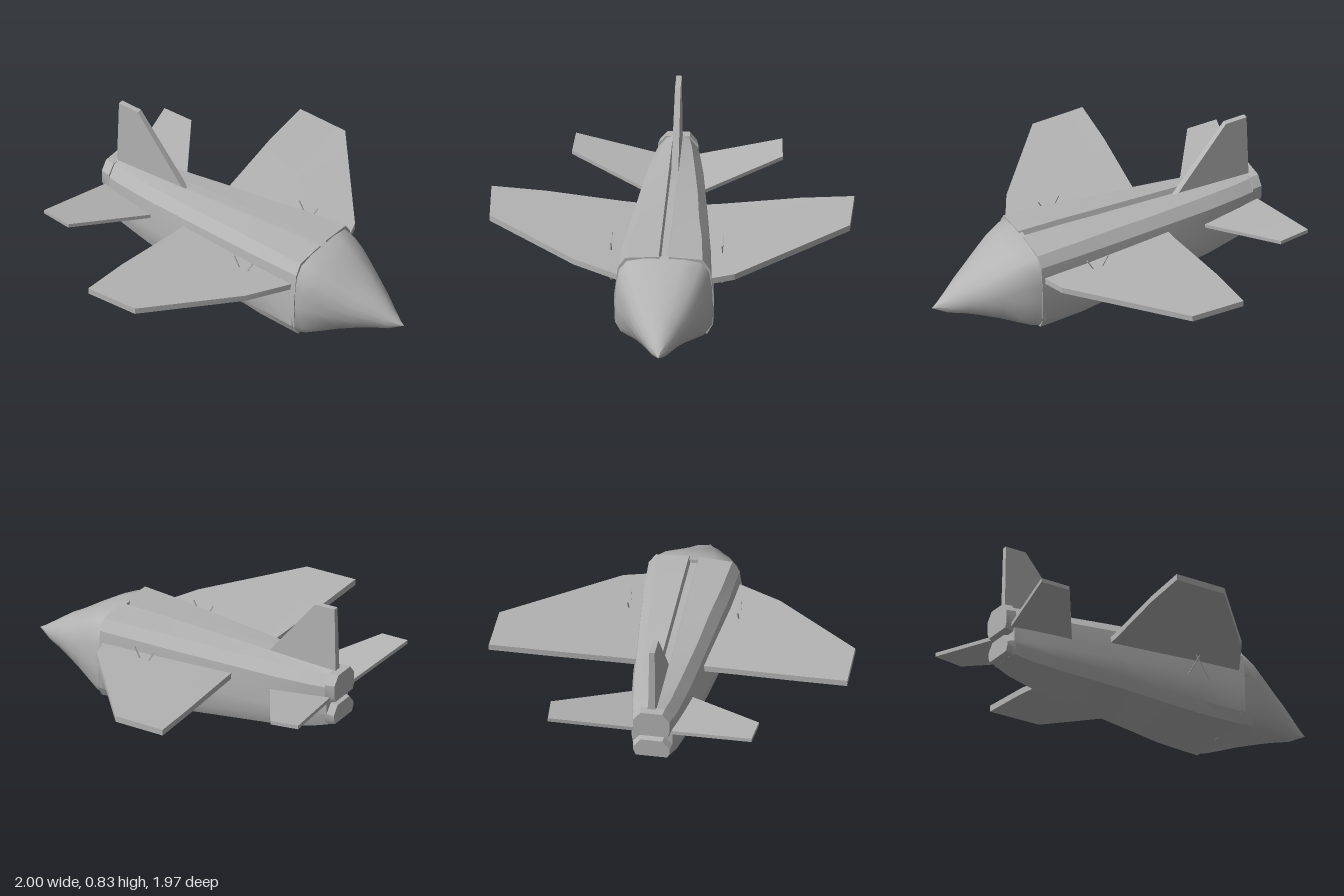
import * as THREE from 'three';
import { toCreasedNormals } from 'three/addons/utils/BufferGeometryUtils.js';

const grey = new THREE.MeshStandardMaterial({ color: 0xb4b4b4 });
grey.name = 'airframe grey';

// Skin closed rings of [x, y, z] points and close both ends
function loft(rings, crease = 0.5) {
  const n = rings[0].length, pos = [];
  const tri = (...p) => p.forEach((v) => pos.push(...v));
  for (let i = 0; i < rings.length - 1; i++) {
    for (let j = 0; j < n; j++) {
      const k = (j + 1) % n, r = rings[i], s = rings[i + 1];
      tri(r[j], r[k], s[k]);
      tri(r[j], s[k], s[j]);
    }
  }
  const cap = (r, flip) => {
    const c = [0, 1, 2].map((a) => r.reduce((t, p) => t + p[a], 0) / n);
    r.forEach((p, j) => (flip ? tri(c, r[(j + 1) % n], p) : tri(c, p, r[(j + 1) % n])));
  };
  cap(rings[0], true);
  cap(rings[rings.length - 1], false);
  const g = new THREE.BufferGeometry();
  g.setAttribute('position', new THREE.Float32BufferAttribute(pos, 3));
  return toCreasedNormals(g, crease);
}

// Mirror a half section of [z, y] points, listed top to bottom, into a full ring
function ring(x, half) {
  const left = half.map(([z, y]) => [x, y, z]);
  const right = half.slice().reverse().filter(([z]) => z > 0).map(([z, y]) => [x, y, -z]);
  return [...left, ...right];
}

// Flat surface from [x, z, yTop] corners; side = -1 mirrors it across the body
function plate(corners, thickness, side) {
  const pts = side > 0 ? corners : corners.slice().reverse();
  const layer = (d) => pts.map(([x, z, y]) => [x, y - d, z * side]);
  return loft([layer(thickness), layer(0)], 0.3);
}

export function createModel() {
  const model = new THREE.Group();
  model.name = 'jetAircraft';
  const add = (name, geometry) => {
    const mesh = new THREE.Mesh(geometry, grey);
    mesh.name = name;
    model.add(mesh);
    return mesh;
  };

  // Main body: x, top, top half width, shoulder half width, half width, bottom
  const stations = [
    [-0.9, 0.462, 0.06, 0.105, 0.11, 0.16],
    [-0.8, 0.463, 0.08, 0.125, 0.135, 0.132],
    [-0.6, 0.465, 0.105, 0.155, 0.17, 0.1],
    [-0.3, 0.47, 0.14, 0.185, 0.208, 0.073],
    [0, 0.475, 0.165, 0.215, 0.235, 0.04],
    [0.2, 0.48, 0.19, 0.235, 0.255, 0.018],
    [0.46, 0.48, 0.21, 0.25, 0.272, 0.008],
  ];
  const bodyRing = ([x, top, zTop, zSh, w, bot]) => ring(x, [
    [0, top - 0.03], [0.018, top - 0.03], [0.028, top], [zTop, top - 0.012],
    [zSh, top - 0.07], [w, 0.23], [w * 0.98, bot + 0.06], [w * 0.86, bot], [0, bot],
  ]);
  add('fuselage', loft(stations.map(bodyRing), 0.45));

  // Split tail end: upper and lower blocks with a notch between
  const blockRing = (x, w, y0, y1) => ring(x, [[0, y1], [w * 0.6, y1], [w, y1 - 0.05], [w, y0 + 0.03], [w * 0.86, y0], [0, y0]]);
  add('upperTailBlock', loft([blockRing(-0.945, 0.1, 0.31, 0.46), blockRing(-0.89, 0.11, 0.29, 0.46)]));
  add('lowerTailBlock', loft([blockRing(-0.94, 0.1, 0.17, 0.275), blockRing(-0.89, 0.11, 0.158, 0.285)]));

  // Nose: x, top, bottom, half width, roundness
  const noseStations = [
    [0.44, 0.472, 0.008, 0.268, 0], [0.5, 0.46, 0.018, 0.26, 0.05], [0.57, 0.435, 0.035, 0.235, 0.2],
    [0.65, 0.39, 0.053, 0.2, 0.45], [0.75, 0.327, 0.075, 0.15, 0.7], [0.82, 0.288, 0.09, 0.11, 0.85],
    [0.91, 0.22, 0.108, 0.056, 1], [0.97, 0.175, 0.14, 0.016, 1], [0.998, 0.158, 0.155, 0.001, 1],
  ];
  const boxy = [[0, 1], [0.4, 1], [0.76, 0.96], [0.92, 0.84], [0.98, 0.64], [1, 0.42], [1, 0.13], [0.86, 0.01], [0, 0]];
  const noseRing = ([x, top, bot, w, round]) => ring(x, boxy.map(([z, y], i) => {
    const a = (i / 8) * Math.PI;
    const zz = i === 0 || i === 8 ? 0 : THREE.MathUtils.lerp(z, Math.sin(a), round);
    const yy = THREE.MathUtils.lerp(y, 0.5 + 0.5 * Math.cos(a), round);
    return [zz * w, bot + yy * (top - bot)];
  }));
  add('nose', loft(noseStations.map(noseRing), 0.8));

  // Main wings, with a slightly different leading edge on each side
  const edge = { 1: [0.3, 0.5, 0.36], '-1': [0.4, 0.38, 0.35] };
  // Tail planes
  const tailplane = [[-0.53, 0.1, 0.305], [-0.91, 0.06, 0.33], [-1, 0.56, 0.402], [-0.83, 0.572, 0.388]];
  for (const side of [1, -1]) {
    const label = side > 0 ? 'left' : 'right';
    const wing = [[0.46, 0.2, 0.342], [-0.335, 0.12, 0.352], [-0.345, 0.27, 0.36],
      [-0.385, 0.69, 0.388], [-0.4, 0.985, 0.4], [-0.095, 0.978, 0.392], edge[side]];
    add(label + 'Wing', plate(wing, 0.035, side));
    add(label + 'Tailplane', plate(tailplane, 0.022, side));

    // Crossed thin rods through each wing
    for (const tilt of [1, -1]) {
      const rod = add(label + 'WingRod', new THREE.BoxGeometry(0.006, 0.26, 0.006));
      rod.position.set(0.145, 0.3, 0.302 * side);
      rod.rotation.z = tilt * 0.5;
    }

    // Small wedge beside the cockpit
    const wedge = add(label + 'NoseWedge', new THREE.ConeGeometry(0.035, 0.08, 3));
    wedge.geometry = toCreasedNormals(wedge.geometry, 0.3);
    wedge.position.set(0.58, 0.365, 0.135 * side);
    wedge.rotation.set(0.6 * side, 0, -1.9);
    wedge.scale.z = 0.7;
  }

  // Tail fin standing in the dorsal groove
  const fin = [[-0.905, 0.43], [-0.455, 0.43], [-0.77, 0.83], [-0.895, 0.836]];
  const finRing = (s) => fin.map(([x, y]) => [x, y, -0.005 + s * (y > 0.6 ? 0.015 : 0.02)]);
  add('tailFin', loft([finRing(-1), finRing(1)], 0.3));

  return model;
}
